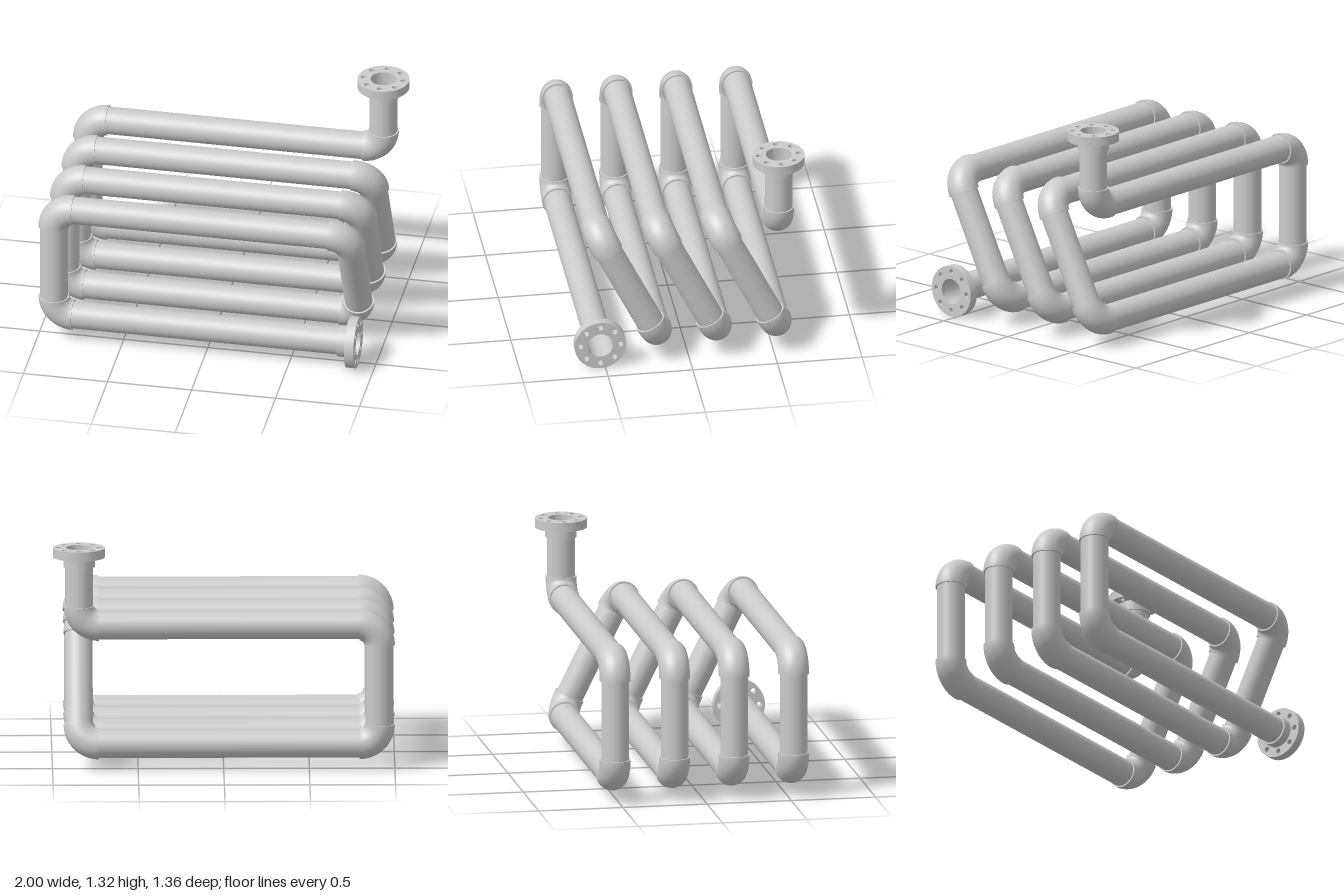
import * as THREE from 'three';
import { toCreasedNormals } from 'three/addons/utils/BufferGeometryUtils.js';

const PIPE = 0.081, ELBOW = 0.09, BORE = 0.075, BEND = 0.117;
const FLANGE = 0.152, FLANGE_T = 0.055, COLLAR_T = 0.058;
const SEG = 40;
const outer = new THREE.MeshStandardMaterial({ color: 0xcccccc });
const inner = new THREE.MeshStandardMaterial({ color: 0xcccccc, side: THREE.BackSide });
const Z = new THREE.Vector3(0, 0, 1);
const Y = new THREE.Vector3(0, 1, 0);

function add(parent, name, geometry, material = outer) {
  const mesh = new THREE.Mesh(geometry, material);
  mesh.name = name;
  parent.add(mesh);
  return mesh;
}

// Straight hollow pipe between two points
function straightPipe(a, b) {
  const g = new THREE.Group();
  g.name = 'straightPipe';
  const dir = b.clone().sub(a), length = dir.length();
  add(g, 'pipeWall', new THREE.CylinderGeometry(PIPE, PIPE, length, SEG, 1, true));
  add(g, 'pipeBore', new THREE.CylinderGeometry(BORE, BORE, length, SEG, 1, true), inner);
  g.position.copy(a).add(b).multiplyScalar(0.5);
  g.quaternion.setFromUnitVectors(Y, dir.normalize());
  return g;
}

// Quarter-bend elbow at a corner, entering along a and leaving along b
function elbow(corner, a, b) {
  const g = new THREE.Group();
  g.name = 'elbow';
  add(g, 'elbowWall', new THREE.TorusGeometry(BEND, ELBOW, SEG, 20, Math.PI / 2));
  add(g, 'elbowBore', new THREE.TorusGeometry(BEND, BORE, SEG, 20, Math.PI / 2), inner);
  const rim = new THREE.RingGeometry(BORE, ELBOW, SEG);
  const start = add(g, 'elbowRim', rim);
  start.position.x = BEND;
  start.rotation.x = Math.PI / 2;
  const end = add(g, 'elbowRim', rim);
  end.position.y = BEND;
  end.rotation.y = -Math.PI / 2;
  const x = b.clone().negate();
  g.quaternion.setFromRotationMatrix(
    new THREE.Matrix4().makeBasis(x, a, x.clone().cross(a)));
  g.position.copy(corner).addScaledVector(a, -BEND).addScaledVector(b, BEND);
  return g;
}

// Disc with a central bore and an optional circle of bolt holes
function disc(radius, depth, bolts) {
  const shape = new THREE.Shape().absarc(0, 0, radius, 0, Math.PI * 2);
  shape.holes.push(new THREE.Path().absarc(0, 0, BORE, 0, Math.PI * 2, true));
  for (let i = 0; i < bolts; i++) {
    const t = (i / bolts) * Math.PI * 2;
    shape.holes.push(new THREE.Path().absarc(
      0.118 * Math.cos(t), 0.118 * Math.sin(t), 0.016, 0, Math.PI * 2, true));
  }
  const geo = new THREE.ExtrudeGeometry(shape, { depth, bevelEnabled: false, curveSegments: 24 });
  return toCreasedNormals(geo, 0.7);
}

// Bolted flange with its collar, opening along dir
function flange(position, dir, name) {
  const g = new THREE.Group();
  g.name = name;
  add(g, 'flangePlate', disc(FLANGE, FLANGE_T, 8));
  add(g, 'flangeCollar', disc(0.092, COLLAR_T, 0)).position.z = -COLLAR_T;
  g.position.copy(position);
  g.quaternion.setFromUnitVectors(Z, dir);
  return g;
}

export function createModel() {
  const model = new THREE.Group();
  model.name = 'pipeCoil';

  // Corner points of the coil: four loops joined by slanted risers
  const right = 0.845, left = -0.91, low = 0.152, high = 0.858;
  const points = [];
  for (let i = 0; i < 4; i++) {
    const z = 0.53 - i * 0.3533;
    for (const [x, y] of [[right, low], [left, low], [left, high], [right, high]]) {
      points.push(new THREE.Vector3(x, y, z));
    }
  }
  points.push(new THREE.Vector3(right, 1.267, -0.53));

  // Straight runs, shortened where an elbow takes over, and the elbows
  const last = points.length - 1;
  const dirs = points.slice(1).map((p, i) => p.clone().sub(points[i]).normalize());
  dirs.forEach((d, i) => {
    const a = points[i].clone().addScaledVector(d, i > 0 ? BEND : 0);
    const b = points[i + 1].clone().addScaledVector(d, i + 1 < last ? -BEND : 0);
    model.add(straightPipe(a, b));
    if (i > 0) model.add(elbow(points[i], dirs[i - 1], d));
  });

  // End flanges
  model.add(flange(points[0], dirs[0].clone().negate(), 'inletFlange'));
  model.add(flange(points[last], dirs[last - 1], 'outletFlange'));
  return model;
}
